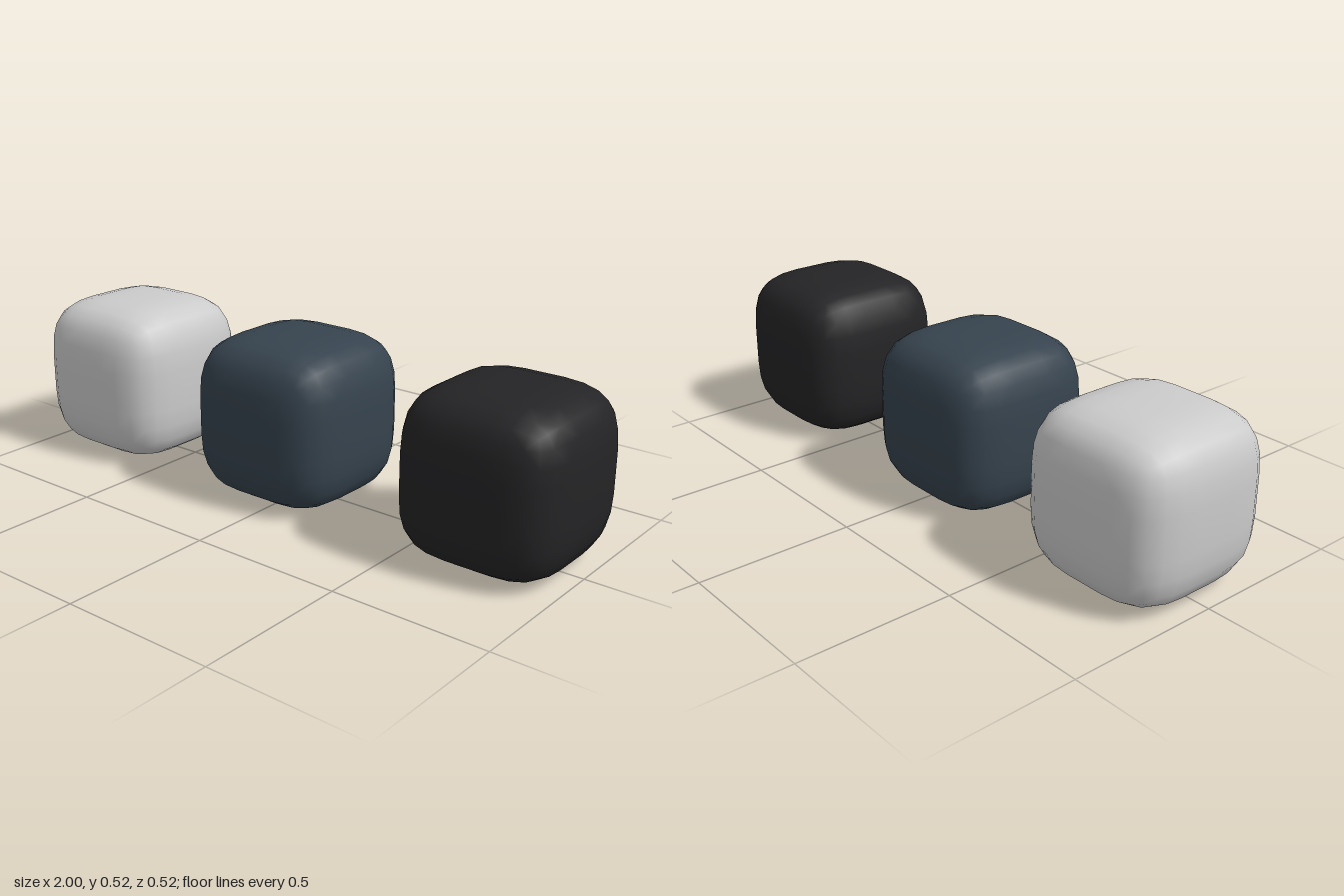
import * as THREE from 'three';

// Cube cage with 2 x 2 quads per side, corners shared between sides
function cubeCage(h) {
  const points = [], quads = [], index = new Map();
  const corner = (p) => {
    const key = p.toArray().map(Math.round).join();
    if (!index.has(key)) index.set(key, points.push(p.clone().multiplyScalar(h)) - 1);
    return index.get(key);
  };
  for (let axis = 0; axis < 3; axis++) {
    for (const s of [-1, 1]) {
      const at = (u, v) => {
        const p = new THREE.Vector3();
        p.setComponent(axis, s);
        p.setComponent((axis + 1) % 3, u * s);
        p.setComponent((axis + 2) % 3, v);
        return corner(p);
      };
      for (const u of [-1, 0]) {
        for (const v of [-1, 0]) quads.push([at(u, v), at(u + 1, v), at(u + 1, v + 1), at(u, v + 1)]);
      }
    }
  }
  return { points, quads };
}

// One Catmull-Clark smoothing step on a closed quad cage
function smooth({ points, quads }) {
  const V = () => new THREE.Vector3();
  const sums = points.map(() => ({ n: 0, face: V(), mid: V() }));
  const out = points.map((p) => p.clone());
  const edges = new Map();
  const edgePoint = (a, b, centre) => {
    const key = a < b ? `${a}_${b}` : `${b}_${a}`;
    if (!edges.has(key)) edges.set(key, out.push(points[a].clone().add(points[b]).multiplyScalar(0.25)) - 1);
    const id = edges.get(key);
    out[id].addScaledVector(centre, 0.25);
    return id;
  };
  const next = [];
  for (const q of quads) {
    const centre = q.reduce((c, i) => c.addScaledVector(points[i], 0.25), V());
    const c = out.push(centre) - 1;
    const e = q.map((a, k) => edgePoint(a, q[(k + 1) % 4], centre));
    q.forEach((a, k) => {
      const s = sums[a];
      s.n++;
      s.face.add(centre);
      s.mid.addScaledVector(points[a], 0.5).addScaledVector(points[q[(k + 1) % 4]], 0.5);
      next.push([a, e[k], c, e[(k + 3) % 4]]);
    });
  }
  sums.forEach(({ n, face, mid }, i) => {
    out[i].multiplyScalar((n - 3) / n).addScaledVector(face, 1 / (n * n)).addScaledVector(mid, 2 / (n * n));
  });
  return { points: out, quads: next };
}

function softCube(h) {
  const { points, quads } = smooth(smooth(cubeCage(h)));
  const geometry = new THREE.BufferGeometry().setFromPoints(points);
  geometry.setIndex(quads.flatMap(([a, b, c, d]) => [a, b, c, a, c, d]));
  geometry.computeVertexNormals();
  return geometry;
}

export function createModel() {
  const group = new THREE.Group();
  const half = 0.261;
  const geometry = softCube(half);

  // Three pillowy cubes in a row
  const cubes = [
    ['greyCube', -0.739, 0xcccccc],
    ['blueCube', -0.032, 0x36434e],
    ['blackCube', 0.739, 0x242426],
  ];
  for (const [name, x, color] of cubes) {
    const cube = new THREE.Mesh(geometry, new THREE.MeshStandardMaterial({ color }));
    cube.name = name;
    cube.position.set(x, half + 0.001, 0);
    group.add(cube);
  }
  return group;
}
